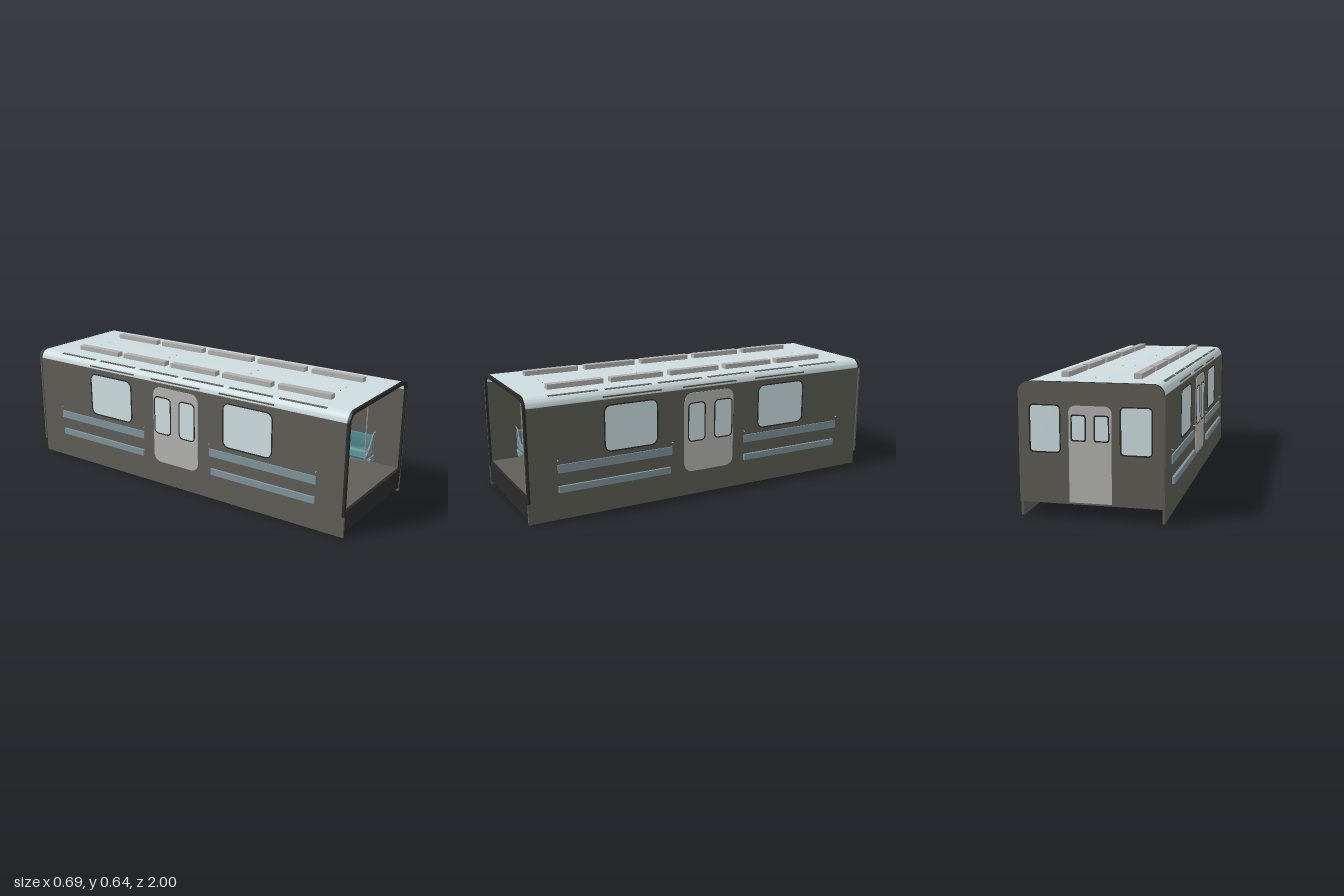
import * as THREE from 'three';
import { toCreasedNormals } from 'three/addons/utils/BufferGeometryUtils.js';

const mat = (name, color) => {
  const m = new THREE.MeshStandardMaterial({ color, side: THREE.DoubleSide });
  m.name = name;
  return m;
};

// Rectangle with rounded corners, usable as a shape or a hole
function roundRect(x0, x1, y0, y1, r, Type = THREE.Shape) {
  const p = new Type();
  p.moveTo(x0 + r, y0);
  p.lineTo(x1 - r, y0);
  p.absarc(x1 - r, y0 + r, r, -Math.PI / 2, 0);
  p.lineTo(x1, y1 - r);
  p.absarc(x1 - r, y1 - r, r, 0, Math.PI / 2);
  p.lineTo(x0 + r, y1);
  p.absarc(x0 + r, y1 - r, r, Math.PI / 2, Math.PI);
  p.lineTo(x0, y0 + r);
  p.absarc(x0 + r, y0 + r, r, Math.PI, Math.PI * 1.5);
  return p;
}

// Car cross-section: straight sides with rounded top corners
function carOutline(hw, y0, top, r) {
  const s = new THREE.Shape();
  s.moveTo(-hw, y0);
  s.lineTo(hw, y0);
  s.lineTo(hw, top - r);
  s.absarc(hw - r, top - r, r, 0, Math.PI / 2);
  s.lineTo(-hw + r, top);
  s.absarc(-hw + r, top - r, r, Math.PI / 2, Math.PI);
  s.lineTo(-hw, y0);
  return s;
}

// Arch of given thickness, open at the bottom
function arch(hw, y0, top, r, t) {
  const s = new THREE.Shape();
  s.moveTo(hw - t, y0);
  s.lineTo(hw, y0);
  s.lineTo(hw, top - r);
  s.absarc(hw - r, top - r, r, 0, Math.PI / 2);
  s.lineTo(-hw + r, top);
  s.absarc(-hw + r, top - r, r, Math.PI / 2, Math.PI);
  s.lineTo(-hw, y0);
  s.lineTo(-hw + t, y0);
  s.lineTo(-hw + t, top - r);
  s.absarc(-hw + r, top - r, r - t, Math.PI, Math.PI / 2, true);
  s.lineTo(hw - r, top - t);
  s.absarc(hw - r, top - r, r - t, Math.PI / 2, 0, true);
  return s;
}

export function createModel() {
  const wall = mat('olive grey wall', 0x5f5e57);
  const roofBlue = mat('pale blue roof', 0xcddce0);
  const glass = mat('pale glass', 0xd0e1e6);
  const door = mat('light grey door', 0xb4b4b2);
  const black = mat('black trim', 0x2a2a2a);
  const stripe = mat('blue grey stripe', 0x80969d);
  const teal = mat('teal seat', 0x4f858b);
  const metal = mat('metal rail', 0x9c9c9a);
  const vent = mat('grey light box', 0xb2b0ad);

  const car = new THREE.Group();
  car.name = 'subwayCar';
  const add = (name, geo, m) => {
    const mesh = new THREE.Mesh(geo, m);
    mesh.name = name;
    car.add(mesh);
    return mesh;
  };
  const box = (name, m, x0, x1, y0, y1, z0, z1) =>
    add(name, new THREE.BoxGeometry(x1 - x0, y1 - y0, z1 - z0), m)
      .position.set((x0 + x1) / 2, (y0 + y1) / 2, (z0 + z1) / 2);
  // Extrusion centred on its plane
  const slab = (shape, d) => {
    const g = new THREE.ExtrudeGeometry(shape, { depth: d, bevelEnabled: false, curveSegments: 8 });
    return toCreasedNormals(g.translate(0, 0, -d / 2), 0.6);
  };
  const endSlab = (name, shape, d, z, m) => { add(name, slab(shape, d), m).position.z = z; };
  const sideSlab = (name, shape, d, x, m) => {
    add(name, slab(shape, d).rotateY(-Math.PI / 2), m).position.x = x;
  };
  // Glazed opening: black ring of thickness t around a pane of thickness pane
  const windowAt = (put, name, [a, b, c, d], r, t, pane, pos) => {
    const ring = roundRect(a, b, c, d, r);
    ring.holes.push(roundRect(a + 0.006, b - 0.006, c + 0.006, d - 0.006, r * 0.8, THREE.Path));
    put(name + 'Frame', ring, t, pos, black);
    put(name + 'Glass', roundRect(a + 0.004, b - 0.004, c + 0.004, d - 0.004, r * 0.8), pane, pos, glass);
  };
  // Pipe of straight runs joined by rounded bends of size k
  const tube = (name, pts, r, k = 0.02) => {
    const path = new THREE.CurvePath();
    const v = pts.map(p => new THREE.Vector3(...p));
    let last = v[0];
    for (let i = 1; i < v.length - 1; i++) {
      const a = v[i].clone().add(v[i - 1].clone().sub(v[i]).setLength(k));
      const b = v[i].clone().add(v[i + 1].clone().sub(v[i]).setLength(k));
      path.add(new THREE.LineCurve3(last, a));
      path.add(new THREE.QuadraticBezierCurve3(a, v[i], b));
      last = b;
    }
    path.add(new THREE.LineCurve3(last, v[v.length - 1]));
    add(name, new THREE.TubeGeometry(path, pts.length * 10, r, 8), metal);
  };

  // Roof shell, floor and front sill
  endSlab('roof', arch(0.33, 0.57, 0.618, 0.047, 0.012), 1.985, 0, roofBlue);
  box('floor', wall, -0.322, 0.322, 0.107, 0.13, -0.98, 0.984);
  box('frontSill', black, -0.32, 0.32, 0.022, 0.13, 0.985, 0.999);

  // End rims
  endSlab('frontRim', arch(0.335, 0.105, 0.625, 0.062, 0.019), 0.012, 0.994, black);
  endSlab('backRim', arch(0.332, 0.57, 0.621, 0.05, 0.012), 0.014, -0.988, black);

  // Back wall with two windows and a double door
  const backWindows = [[-0.283, -0.135, 0.3, 0.52], [0.135, 0.283, 0.3, 0.52]];
  const back = carOutline(0.332, 0.07, 0.62, 0.05);
  backWindows.forEach(([a, b, c, d]) => back.holes.push(roundRect(a, b, c, d, 0.02, THREE.Path)));
  endSlab('backWall', back, 0.008, -0.9955, wall);
  backWindows.forEach(w => windowAt(endSlab, 'backWindow', w, 0.02, 0.022, 0.014, -0.989));
  endSlab('backDoorFrame', carOutline(0.105, 0.13, 0.524, 0.035), 0.01, -0.986, black);
  endSlab('backDoor', carOutline(0.098, 0.078, 0.518, 0.03), 0.023, -0.9885, door);
  box('backDoorSeam', black, -0.006, 0.006, 0.13, 0.518, -0.98, -0.975);
  for (const s of [-1, 1]) {
    const [a, b] = [0.018 * s, 0.088 * s].sort((p, q) => p - q);
    windowAt(endSlab, 'backDoorWindow', [a, b, 0.358, 0.478], 0.01, 0.027, 0.025, -0.9885);
    tube('doorHandle', [[s * 0.004, 0.346, -0.972], [s * 0.018, 0.346, -0.965],
      [s * 0.018, 0.317, -0.965], [s * 0.004, 0.317, -0.972]], 0.002, 0.006);
  }

  // Side walls with windows, doors and stripes
  const sideWindows = [[0.305, 0.6, 0.305, 0.545], [-0.595, -0.295, 0.305, 0.545]];
  const benches = [[0.225, 0.845], [-0.83, -0.21]];
  for (const s of [-1, 1]) {
    const span = (a, b) => [Math.min(a * s, b * s), Math.max(a * s, b * s)];
    const shape = new THREE.Shape();
    [[1, 0], [1, 0.572], [-0.982, 0.572], [-0.982, 0]].forEach(([z, y], i) =>
      i ? shape.lineTo(z, y) : shape.moveTo(z, y));
    sideWindows.forEach(([a, b, c, d]) => shape.holes.push(roundRect(a, b, c, d, 0.04, THREE.Path)));
    sideSlab('sideWall', shape, 0.012, s * 0.328, wall);
    sideWindows.forEach(w => windowAt(sideSlab, 'sideWindow', w, 0.04, 0.018, 0.012, s * 0.328));

    sideSlab('sideDoor', roundRect(-0.14, 0.152, 0.128, 0.55, 0.045), 0.019, s * 0.328, door);
    for (const [a, b] of [[0.03, 0.134], [-0.134, -0.022]])
      windowAt(sideSlab, 'sideDoorWindow', [a, b, 0.29, 0.5], 0.025, 0.023, 0.021, s * 0.328);

    // Narrow strips along the roof edge
    for (let i = 0; i < 6; i++) {
      const strip = add('roofEdgeStrip', new THREE.BoxGeometry(0.012, 0.003, 0.255), wall);
      strip.position.set(s * 0.3, 0.6142, -0.71 + i * 0.29);
      strip.rotation.z = -s * 0.37;
    }
    for (const z of [-0.44, 0, 0.44]) box('roofSideStrip', wall, ...span(0.326, 0.331), 0.581, 0.588, z - 0.16, z + 0.16);

    for (const [z0, z1] of benches) {
      const len = z1 - z0, mid = (z0 + z1) / 2;
      box('upperStripe', stripe, ...span(0.325, 0.34), 0.238, 0.28, z0, z1);
      box('lowerStripe', stripe, ...span(0.285, 0.347), 0.14, 0.173, z0 + 0.015, z1);

      // Bench: bent shell of backrest and seat, with a filler behind and end panels
      const seat = new THREE.Shape();
      seat.moveTo(s * 0.318, 0.287);
      seat.lineTo(s * 0.302, 0.285);
      seat.quadraticCurveTo(s * 0.292, 0.24, s * 0.295, 0.215);
      seat.quadraticCurveTo(s * 0.294, 0.188, s * 0.27, 0.187);
      seat.quadraticCurveTo(s * 0.235, 0.195, s * 0.212, 0.187);
      seat.lineTo(s * 0.216, 0.177);
      seat.lineTo(s * 0.285, 0.176);
      seat.quadraticCurveTo(s * 0.304, 0.18, s * 0.304, 0.215);
      seat.quadraticCurveTo(s * 0.302, 0.25, s * 0.31, 0.278);
      endSlab('bench', seat, len, mid, teal);
      const filler = new THREE.Shape();
      [[0.322, 0.28], [0.31, 0.278], [0.303, 0.25], [0.304, 0.2], [0.285, 0.177], [0.285, 0.172], [0.322, 0.172]]
        .forEach(([x, y], i) => i ? filler.lineTo(s * x, y) : filler.moveTo(s * x, y));
      endSlab('benchBack', filler, len - 0.004, mid, stripe);
      const panel = new THREE.Shape();
      panel.moveTo(s * 0.297, 0.278);
      panel.quadraticCurveTo(s * 0.26, 0.215, s * 0.216, 0.19);
      panel.lineTo(s * 0.27, 0.186);
      panel.quadraticCurveTo(s * 0.294, 0.188, s * 0.295, 0.215);
      for (const z of [z0 + 0.004, z1 - 0.004]) endSlab('benchEnd', panel, 0.006, z, stripe);

      const heater = add('heaterPipe', new THREE.CylinderGeometry(0.012, 0.012, len, 10), metal);
      heater.rotation.x = Math.PI / 2;
      heater.position.set(s * 0.292, 0.152, mid);

      // Grab rails and armrests at both bench ends
      for (const z of [z0, z1]) {
        tube('grabRail', [[s * 0.322, 0.518, z], [s * 0.206, 0.518, z], [s * 0.206, 0.174, z],
          [s * 0.322, 0.17, z]], 0.0035);
        tube('armrest', [[s * 0.345, 0.303, z], [s * 0.3, 0.303, z], [s * 0.255, 0.223, z],
          [s * 0.206, 0.223, z]], 0.003, 0.012);
        tube('ceilingRail', [[s * 0.228, 0.518, z], [s * 0.228, 0.606, z]], 0.003);
      }
    }

    // Light boxes through the roof
    for (let i = 0; i < 5; i++) {
      const z = -0.66 + i * 0.336;
      box('roofLightBox', vent, s * 0.172 - 0.019, s * 0.172 + 0.019, 0.592, 0.643, z - 0.147, z + 0.147);
    }
  }

  // Centre poles with ceiling brackets
  for (const z of [-0.785, -0.27, 0.28, 0.8]) {
    tube('centrePole', [[0, 0.06, z], [0, 0.61, z]], 0.0035);
    tube('poleBracket', [[-0.033, 0.62, z], [-0.033, 0.578, z], [0.033, 0.578, z], [0.033, 0.62, z]], 0.003, 0.007);
  }
  return car;
}
